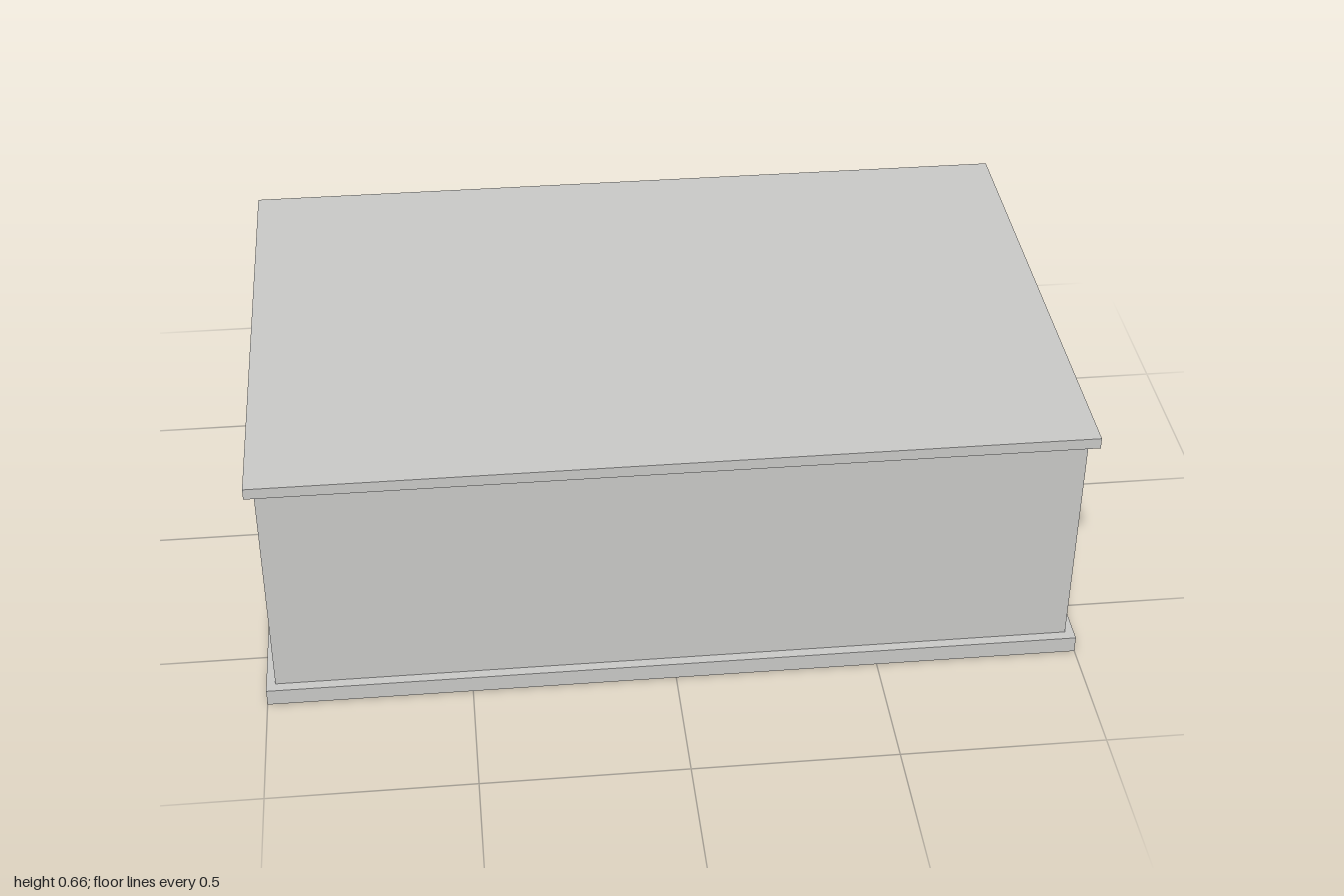
import * as THREE from 'three';

const stone = new THREE.MeshStandardMaterial({ color: 0xc8c8c6 });
stone.name = 'pale grey';
const gold = new THREE.MeshStandardMaterial({ color: 0xc8922a });
gold.name = 'gold';

// Box given by its minimum and maximum corners
function box(name, material, [x0, y0, z0], [x1, y1, z1]) {
  const mesh = new THREE.Mesh(new THREE.BoxGeometry(x1 - x0, y1 - y0, z1 - z0), material);
  mesh.position.set((x0 + x1) / 2, (y0 + y1) / 2, (z0 + z1) / 2);
  mesh.name = name;
  return mesh;
}

function rectangle(Type, x0, y0, x1, y1) {
  const path = new Type();
  path.moveTo(x0, y0).lineTo(x1, y0).lineTo(x1, y1).lineTo(x0, y1).closePath();
  return path;
}

// Upright plate with a rectangular hole, starting at z and growing toward +z
function framePlate(name, material, outer, inner, z, depth) {
  const shape = rectangle(THREE.Shape, ...outer);
  shape.holes.push(rectangle(THREE.Path, ...inner));
  const mesh = new THREE.Mesh(new THREE.ExtrudeGeometry(shape, { depth, bevelEnabled: false }), material);
  mesh.position.z = z;
  mesh.name = name;
  return mesh;
}

// Door leaf with gold panel mouldings and a push bar, facing -z
function doorLeaf(side) {
  const leaf = new THREE.Group();
  leaf.name = side > 0 ? 'leftDoorLeaf' : 'rightDoorLeaf';
  const cx = side * 0.061, face = -0.583, trim = 0.01;
  leaf.add(box('doorPanel', stone, [cx - 0.058, 0.045, face], [cx + 0.058, 0.347, -0.574]));
  for (const [name, y0, y1] of [['upperMoulding', 0.18, 0.33], ['lowerMoulding', 0.06, 0.145]]) {
    leaf.add(framePlate(name, gold,
      [cx - 0.047, y0, cx + 0.047, y1],
      [cx - 0.047 + trim, y0 + trim, cx + 0.047 - trim, y1 - trim],
      face - 0.005, 0.006));
  }
  leaf.add(box('pushBar', gold, [cx - 0.042, 0.157, face - 0.012], [cx + 0.042, 0.169, face]));
  return leaf;
}

export function createModel() {
  const model = new THREE.Group();
  model.name = 'building';

  // Foundation, flat roof and entrance step
  model.add(box('foundation', stone, [-1, 0, -0.627], [1, 0.043, 0.675]));
  model.add(box('roof', stone, [-1, 0.628, -0.627], [1, 0.656, 0.675]));
  model.add(box('entranceStep', stone, [-0.15, 0.027, -0.675], [0.145, 0.05, -0.605]));

  // Walls, with a shallow doorway cut into the back
  model.add(box('walls', stone, [-0.978, 0.043, -0.575], [0.978, 0.628, 0.65]));
  model.add(framePlate('backWall', stone,
    [-0.978, 0.043, 0.978, 0.628], [-0.122, 0.045, 0.122, 0.35], -0.6, 0.025));

  // Double door
  const door = new THREE.Group();
  door.name = 'doubleDoor';
  for (const side of [1, -1]) door.add(doorLeaf(side));
  model.add(door);

  return model;
}
